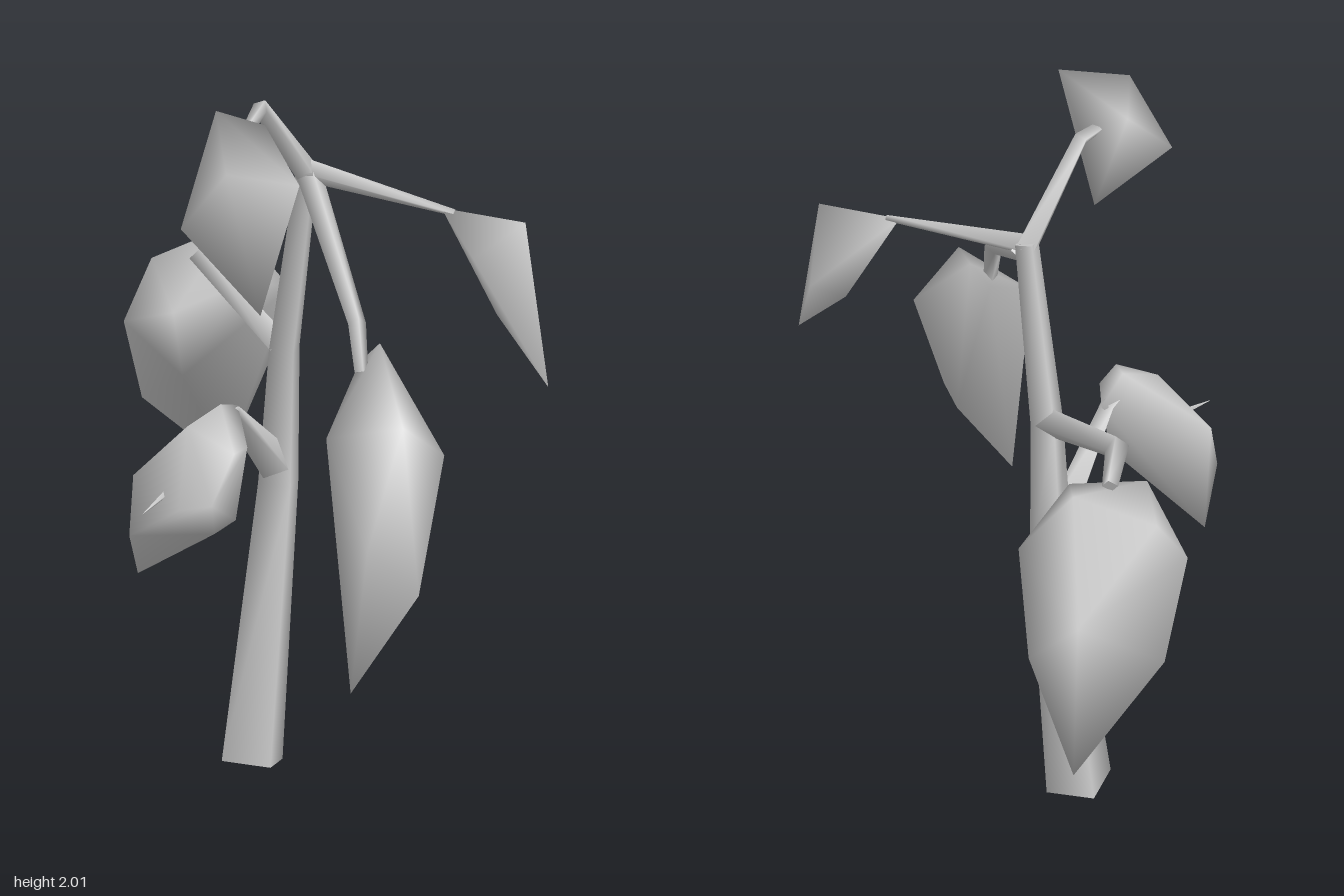
import * as THREE from 'three';
import { ConvexGeometry } from 'three/addons/geometries/ConvexGeometry.js';
import { mergeVertices } from 'three/addons/utils/BufferGeometryUtils.js';

const material = new THREE.MeshStandardMaterial({ color: 0xcccccc, side: THREE.DoubleSide });

// Four-sided tapering limb through [x, y, z, radius] stations, closed at both ends
function limb(name, stations) {
  const sides = 4;
  const centres = stations.map(([x, y, z]) => new THREE.Vector3(x, y, z));
  const pos = [], index = [];
  const first = centres[1].clone().sub(centres[0]).normalize();
  let u = new THREE.Vector3(Math.cos(0.65), 0, Math.sin(0.65));
  if (Math.abs(u.dot(first)) > 0.8) u.set(0, 1, 0);
  stations.forEach((s, i) => {
    const a = centres[Math.max(i - 1, 0)];
    const b = centres[Math.min(i + 1, centres.length - 1)];
    const t = b.clone().sub(a).normalize();
    u = u.clone().addScaledVector(t, -u.dot(t)).normalize();
    const v = t.clone().cross(u);
    for (let k = 0; k < sides; k++) {
      const angle = (k / sides) * Math.PI * 2;
      const p = centres[i].clone()
        .addScaledVector(u, s[3] * Math.cos(angle))
        .addScaledVector(v, s[3] * Math.sin(angle));
      pos.push(p.x, p.y, p.z);
      if (i > 0) {
        const c = i * sides + k, d = i * sides + (k + 1) % sides;
        index.push(c - sides, d - sides, d, c - sides, d, c);
      }
    }
  });
  // End caps have their own corners so the rims stay crisp
  for (const end of [0, stations.length - 1]) {
    const base = pos.length / 3;
    pos.push(...pos.slice(end * sides * 3, (end + 1) * sides * 3));
    if (end === 0) index.push(base, base + 2, base + 1, base, base + 3, base + 2);
    else index.push(base, base + 1, base + 2, base, base + 2, base + 3);
  }
  const geometry = new THREE.BufferGeometry();
  geometry.setAttribute('position', new THREE.Float32BufferAttribute(pos, 3));
  geometry.setIndex(index);
  geometry.computeVertexNormals();
  const mesh = new THREE.Mesh(geometry, material);
  mesh.name = name;
  return mesh;
}

// Plump smooth-shaded leaf stretched over a few corner points
function leaf(name, corners) {
  let geometry = new ConvexGeometry(corners.map((c) => new THREE.Vector3(...c)));
  geometry.deleteAttribute('normal');
  geometry = mergeVertices(geometry, 1e-4);
  geometry.computeVertexNormals();
  const mesh = new THREE.Mesh(geometry, material);
  mesh.name = name;
  return mesh;
}

export function createModel() {
  const plant = new THREE.Group();
  plant.name = 'plant';

  // Main stem, leaning slightly as it rises
  plant.add(limb('stem', [
    [-0.195, 0, 0.025, 0.1], [-0.143, 0.8, -0.042, 0.066],
    [-0.11, 1.2, -0.005, 0.05], [-0.02, 1.75, 0.045, 0.036],
  ]));

  // Leaf stalks
  const stalks = {
    rearStalk: [[-0.11, 1.2, 0, 0.045], [-0.46, 1.365, -0.25, 0.036], [-0.5, 1.32, -0.37, 0.024]],
    lowerStalk: [[-0.145, 0.86, -0.02, 0.056], [-0.14, 1.08, 0.3, 0.027], [-0.15, 1.09, 0.42, 0.015]],
    topStalk: [[-0.02, 1.73, 0.045, 0.036], [-0.068, 1.975, 0.28, 0.025], [-0.06, 1.94, 0.39, 0.018]],
    frontStalk: [[-0.01, 1.72, 0.05, 0.038], [0.285, 1.42, 0.43, 0.026], [0.31, 1.29, 0.46, 0.02]],
    sideStalk: [[-0.02, 1.74, 0.05, 0.034], [0.44, 1.67, 0.08, 0.01]],
  };
  for (const [name, stations] of Object.entries(stalks)) plant.add(limb(name, stations));

  // Leaves, each running from its stalk down to a pointed tip
  const leaves = {
    rearLeaf: [
      [-0.51, 1.22, -0.165], [-0.365, 1.28, -0.36], [-0.48, 1.385, -0.555], [-0.69, 1.29, -0.45],
      [-0.73, 1.13, -0.34], [-0.51, 1.02, -0.235], [-0.335, 1.2, -0.61], [-0.735, 0.87, -0.49],
      [-0.45, 0.96, -0.77], [-0.645, 1.16, -0.845], [-0.6, 0.62, -0.785],
    ],
    lowerLeaf: [
      [-0.14, 1.1, 0.27], [-0.14, 1.135, 0.4], [-0.035, 1.035, 0.46], [-0.035, 1.04, 0.56],
      [-0.2, 1.09, 0.5], [-0.352, 0.94, 0.53], [-0.34, 0.78, 0.59], [-0.16, 0.89, 0.668],
      [-0.05, 0.92, 0.69], [-0.07, 0.82, 0.62], [-0.07, 0.82, 0.46], [-0.36, 0.64, 0.475],
    ],
    topLeaf: [
      [-0.15, 1.99, 0.41], [-0.02, 1.95, 0.365], [0.215, 1.88, 0.69],
      [0.01, 1.9, 0.73], [-0.14, 1.72, 0.7], [0.085, 1.48, 0.66],
    ],
    frontLeaf: [
      [0.28, 1.3, 0.4], [0.34, 1.36, 0.395], [0.52, 1.2, 0.67], [0.585, 1.09, 0.52],
      [0.572, 0.72, 0.68], [0.46, 0.75, 0.545], [0.485, 0.88, 0.85], [0.28, 1.14, 0.65],
      [0.4, 0.44, 0.765],
    ],
    sideLeaf: [
      [0.4, 1.68, 0.08], [0.65, 1.66, 0.07], [0.61, 1.47, -0.06],
      [0.535, 1.57, 0.178], [0.56, 1.38, 0.06], [0.735, 1.2, 0.11],
    ],
  };
  for (const [name, corners] of Object.entries(leaves)) plant.add(leaf(name, corners));

  // Thin thorn poking through the lower leaf
  plant.add(limb('thorn', [[-0.225, 0.92, 0.58, 0.012], [-0.246, 0.885, 0.725, 0.001]]));

  return plant;
}
